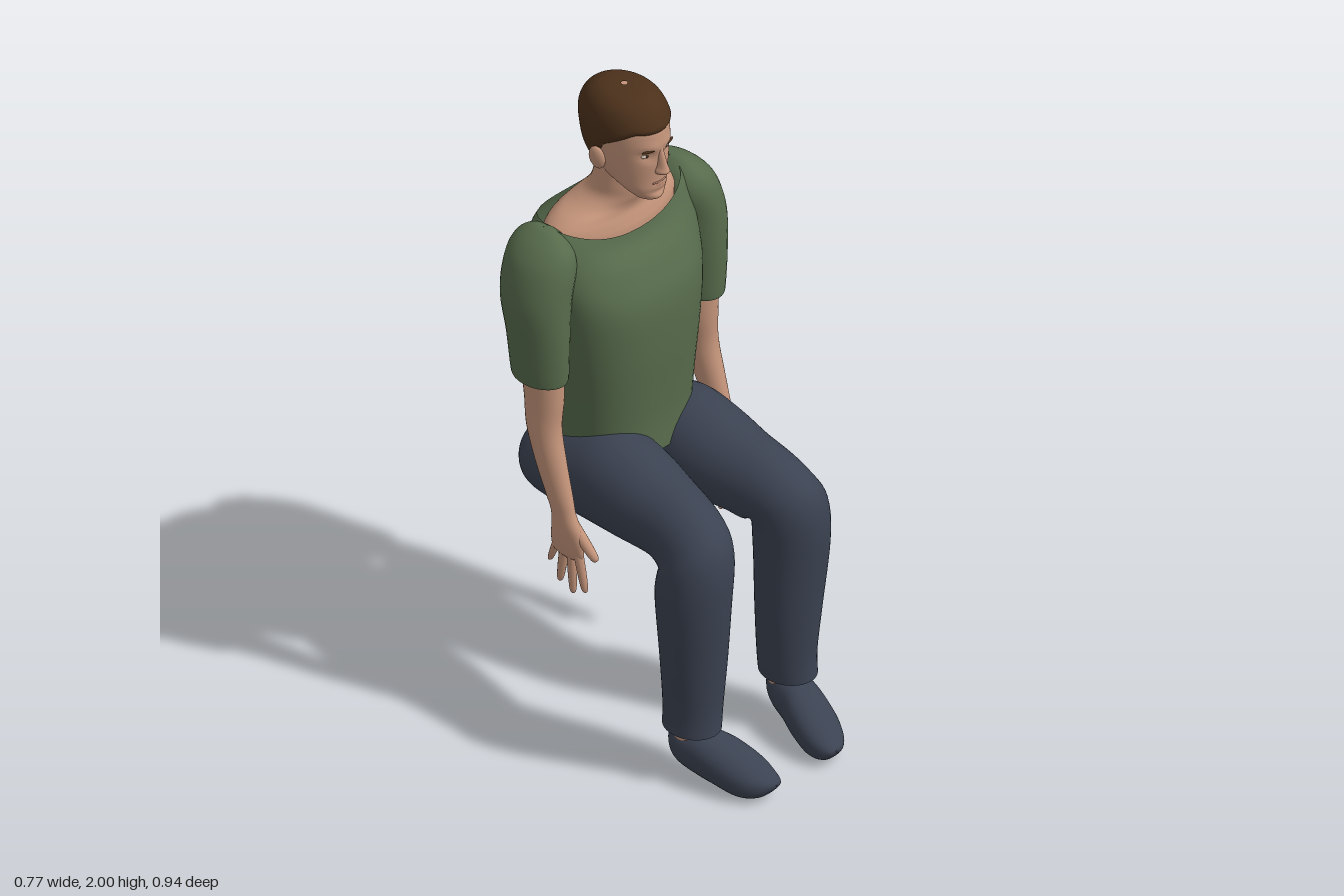
import * as THREE from 'three';

const color = (name, hex, side = THREE.FrontSide) => {
  const m = new THREE.MeshStandardMaterial({ color: hex, side });
  m.name = name;
  return m;
};

// Smooth blend through a list of sections, component by component
function sample(list, s) {
  const i = Math.min(Math.floor(s), list.length - 2), f = s - i;
  const at = k => list[Math.max(0, Math.min(list.length - 1, k))];
  return list[i].map((_, c) => {
    const a = at(i - 1)[c], b = at(i)[c], d = at(i + 1)[c], e = at(i + 2)[c];
    return b + 0.5 * f * (d - a + f * (2 * a - 5 * b + 4 * d - e + f * (3 * (b - d) + e - a)));
  });
}

// Skin over elliptical sections [x, y, z, rx, rv, tilt]; tilt 0 runs to +z, 90 down, -90 up
function loft(sections, { seg = 32, sub = 5, power = 2, mirror = 1, bend = null } = {}) {
  const pos = [], index = [], rings = (sections.length - 1) * sub;
  const round = v => Math.sign(v) * Math.abs(v) ** (2 / power);
  for (let i = 0; i <= rings; i++) {
    const [x, y, z, rx, rv, tilt] = sample(sections, i / sub);
    const t = THREE.MathUtils.degToRad(tilt);
    for (let j = 0; j < seg; j++) {
      const q = j / seg * Math.PI * 2;
      const u = Math.max(rx, 0.0005) * round(Math.cos(q));
      const v = Math.max(rv, 0.0005) * round(Math.sin(q));
      const p = new THREE.Vector3(mirror * x + u, y + v * Math.cos(t), z + v * Math.sin(t));
      if (bend) bend(p, q);
      pos.push(p.x, p.y, p.z);
      if (i < rings) {
        const a = i * seg + j, b = i * seg + (j + 1) % seg;
        index.push(a, b, a + seg, b, b + seg, a + seg);
      }
    }
  }
  const g = new THREE.BufferGeometry();
  g.setAttribute('position', new THREE.Float32BufferAttribute(pos, 3));
  g.setIndex(index);
  g.computeVertexNormals();
  return g;
}

const tilted = (tilt, rows) => rows.map(r => [...r, tilt]);
// Rows [y, z, rx, rz] for upright parts on the centre line
const upright = rows => rows.map(([y, z, rx, rz]) => [0, y, z, rx, rz, -90]);

export function createModel() {
  const skin = color('skin', 0xc4947a);
  const lips = color('lips', 0xae7c68);
  const shirt = color('green shirt', 0x576b4c, THREE.DoubleSide);
  const cloth = color('dark blue cloth', 0x3b4251, THREE.DoubleSide);
  const hairColor = color('brown hair', 0x4c311b);
  const eyeWhite = color('eye white', 0xcdbcb0);
  const iris = color('dark iris', 0x3a2c24);

  const model = new THREE.Group();
  model.name = 'seatedMan';
  const add = (name, geometry, material) => {
    const m = new THREE.Mesh(geometry, material);
    m.name = name;
    model.add(m);
    return m;
  };
  const ball = (name, material, p, r) => {
    const m = add(name, new THREE.SphereGeometry(1, 20, 14), material);
    m.position.set(...p);
    m.scale.set(...r);
    return m;
  };

  // Shirt body: hem drops at the back, wide neckline rises at the shoulders
  add('shirtBody', loft(upright([
    [0.86, -0.27, 0.20, 0.195], [0.95, -0.255, 0.203, 0.175], [1.05, -0.245, 0.21, 0.168],
    [1.2, -0.25, 0.23, 0.18], [1.35, -0.26, 0.25, 0.185], [1.45, -0.28, 0.265, 0.165],
    [1.53, -0.295, 0.262, 0.135], [1.575, -0.296, 0.235, 0.12],
  ]), {
    seg: 56, power: 2.4, bend: p => {
      const low = 1 - THREE.MathUtils.smoothstep(p.y, 0.86, 0.98);
      const high = THREE.MathUtils.smoothstep(p.y, 1.45, 1.575);
      const k = (p.z + 0.27) / 0.195;
      p.y += low * (0.04 * (1 - k * k) - (k < 0 ? 0.06 * k * k : 0));
      p.y += high * (0.035 * Math.min(1, (p.x / 0.23) ** 2) - (p.z > -0.296 ? 0.03 * (1 - (p.x / 0.27) ** 2) : 0));
    },
  }), shirt);

  // Chest and neck seen through the neckline
  add('neck', loft(upright([
    [1.45, -0.29, 0.20, 0.11], [1.54, -0.295, 0.225, 0.115], [1.575, -0.295, 0.222, 0.108],
    [1.603, -0.29, 0.185, 0.095], [1.625, -0.28, 0.125, 0.088], [1.655, -0.263, 0.086, 0.082],
    [1.7, -0.25, 0.076, 0.076], [1.78, -0.245, 0.07, 0.07],
  ]), { seg: 40 }), skin);

  // Head with eye sockets and cheeks
  const headRows = [
    [1.674, -0.14, 0.002, 0.002], [1.679, -0.142, 0.03, 0.03], [1.69, -0.15, 0.045, 0.05],
    [1.715, -0.17, 0.064, 0.075], [1.75, -0.203, 0.08, 0.108], [1.8, -0.223, 0.092, 0.131],
    [1.86, -0.229, 0.099, 0.14], [1.915, -0.233, 0.1, 0.137], [1.955, -0.235, 0.086, 0.115],
    [1.98, -0.235, 0.06, 0.08], [1.99, -0.235, 0.03, 0.04], [1.992, -0.235, 0.001, 0.001],
  ];
  const bump = (p, x, y, w, h) => Math.exp(-(((Math.abs(p.x) - x) / w) ** 2) - ((p.y - y) / h) ** 2);
  add('head', loft(upright(headRows), {
    seg: 64, bend: p => {
      if (p.z < -0.18) return;
      p.z += -0.012 * bump(p, 0.038, 1.834, 0.02, 0.014) + 0.005 * bump(p, 0.03, 1.864, 0.03, 0.01)
        - 0.006 * bump(p, 0, 1.708, 0.03, 0.008) + 0.005 * bump(p, 0, 1.685, 0.025, 0.012);
    },
  }), skin);

  // Short hair: sinks under the scalp below the hairline
  const hairline = f => f > 0.75 ? 1.908
    : f > 0.1 ? THREE.MathUtils.mapLinear(f, 0.75, 0.1, 1.908, 1.855)
      : f > -0.3 ? THREE.MathUtils.mapLinear(f, 0.1, -0.3, 1.855, 1.767) : 1.767;
  add('hair', loft(upright(headRows.slice(4)), {
    seg: 72, sub: 9, bend: (p, q) => {
      const off = THREE.MathUtils.clamp((p.y - hairline(-Math.sin(q))) * 0.8, -0.015, 0.008);
      p.x += off * Math.cos(q);
      p.z -= off * Math.sin(q);
      p.y += Math.max(off, 0) * THREE.MathUtils.smoothstep(p.y, 1.9, 1.99);
    },
  }), hairColor);

  // Nose and mouth
  add('nose', loft(upright([
    [1.77, -0.1, 0.002, 0.002], [1.774, -0.094, 0.016, 0.018], [1.784, -0.09, 0.02, 0.027],
    [1.8, -0.092, 0.014, 0.024], [1.84, -0.096, 0.009, 0.014], [1.868, -0.1, 0.006, 0.006],
  ]), { seg: 20 }), skin);
  ball('upperLip', lips, [0, 1.741, -0.102], [0.026, 0.005, 0.009]);
  ball('lowerLip', lips, [0, 1.731, -0.104], [0.022, 0.006, 0.01]);

  for (const [side, s] of [['left', 1], ['right', -1]]) {
    const part = (name, rows, material, options) =>
      add(side + name, loft(rows, { mirror: s, ...options }), material);

    // Eye, brow and ear
    ball(side + 'Eye', eyeWhite, [s * 0.038, 1.834, -0.116], [0.014, 0.006, 0.008]);
    ball(side + 'Iris', iris, [s * 0.037, 1.834, -0.1105], [0.005, 0.005, 0.004]);
    ball(side + 'Brow', hairColor, [s * 0.04, 1.855, -0.1], [0.021, 0.0035, 0.005]).rotation.y = s * 0.35;
    ball(side + 'Ear', skin, [s * 0.102, 1.8, -0.238], [0.012, 0.038, 0.024]).rotation.set(-0.15, s * -0.35, s * -0.15);

    // Sleeve
    part('Sleeve', tilted(-90, [
      [0.3, 1.162, -0.26, 0.064, 0.086], [0.3, 1.175, -0.26, 0.069, 0.091], [0.302, 1.3, -0.265, 0.076, 0.1],
      [0.297, 1.42, -0.278, 0.088, 0.11], [0.272, 1.52, -0.285, 0.088, 0.11], [0.26, 1.575, -0.29, 0.06, 0.09],
      [0.252, 1.606, -0.295, 0.022, 0.045], [0.25, 1.611, -0.295, 0.001, 0.001],
    ]), shirt);

    // Arm and palm
    part('Arm', tilted(90, [
      [0.3, 1.25, -0.255, 0.055, 0.07], [0.295, 1.1, -0.248, 0.05, 0.062], [0.3, 1, -0.243, 0.043, 0.056],
      [0.303, 0.9, -0.215, 0.037, 0.052], [0.304, 0.8, -0.18, 0.03, 0.045], [0.303, 0.75, -0.165, 0.026, 0.042],
      [0.3, 0.7, -0.155, 0.026, 0.053], [0.297, 0.65, -0.155, 0.023, 0.06], [0.293, 0.61, -0.157, 0.017, 0.053],
      [0.291, 0.598, -0.16, 0.001, 0.01],
    ]), skin);

    // Fingers: [root y, root z, tip y, tip z, radius, tilt]
    const digits = {
      IndexFinger: [0.63, -0.115, 0.5, -0.1, 0.013, 90], MiddleFinger: [0.63, -0.142, 0.475, -0.147, 0.013, 90],
      RingFinger: [0.63, -0.168, 0.492, -0.198, 0.013, 90], LittleFinger: [0.64, -0.195, 0.542, -0.238, 0.011, 90],
      Thumb: [0.715, -0.135, 0.625, -0.055, 0.016, 45],
    };
    for (const [name, [y0, z0, y1, z1, r, tilt]] of Object.entries(digits)) {
      part(name, tilted(tilt, [[0, 1.1], [0.5, 1], [0.85, 0.8], [0.97, 0.5], [1, 0.02]].map(([f, k]) => [
        0.295 - 0.012 * f, y0 + (y1 - y0) * f, z0 + (z1 - z0) * f, r * k, r * k,
      ])), skin, { seg: 14, sub: 3 });
    }

    // Trouser leg, bent at the knee
    part('TrouserLeg', [
      [0.12, 0.77, -0.455, 0.001, 0.001, 0], [0.12, 0.77, -0.443, 0.075, 0.062, 0],
      [0.13, 0.77, -0.38, 0.122, 0.102, 0], [0.138, 0.785, -0.28, 0.135, 0.124, 0],
      [0.14, 0.805, -0.15, 0.136, 0.148, 0], [0.142, 0.8, -0.03, 0.131, 0.14, 0],
      [0.15, 0.785, 0.1, 0.113, 0.122, 0], [0.165, 0.755, 0.19, 0.105, 0.122, 35],
      [0.18, 0.715, 0.225, 0.107, 0.115, 65], [0.188, 0.6, 0.225, 0.105, 0.108, 90],
      [0.182, 0.4, 0.22, 0.093, 0.095, 90], [0.18, 0.25, 0.215, 0.08, 0.088, 90],
      [0.184, 0.172, 0.215, 0.076, 0.088, 90],
    ], cloth, { seg: 40 });

    // Ankle and shoe with the toe lowered
    part('Ankle', tilted(90, [[0.184, 0.26, 0.21, 0.05, 0.055], [0.184, 0.12, 0.21, 0.05, 0.053]]), skin);
    part('Shoe', tilted(0, [
      [0.19, 0.138, 0.15, 0.002, 0.002], [0.188, 0.122, 0.163, 0.036, 0.042], [0.185, 0.108, 0.2, 0.056, 0.06],
      [0.174, 0.098, 0.26, 0.063, 0.068], [0.157, 0.084, 0.32, 0.07, 0.066], [0.14, 0.062, 0.39, 0.067, 0.058],
      [0.128, 0.053, 0.44, 0.05, 0.037], [0.118, 0.058, 0.468, 0.026, 0.014], [0.115, 0.06, 0.475, 0.002, 0.002],
    ]), cloth, { power: 2.3 });
  }

  // Seat of the trousers
  ball('trouserSeat', cloth, [0, 0.79, -0.27], [0.18, 0.115, 0.178]);
  return model;
}
